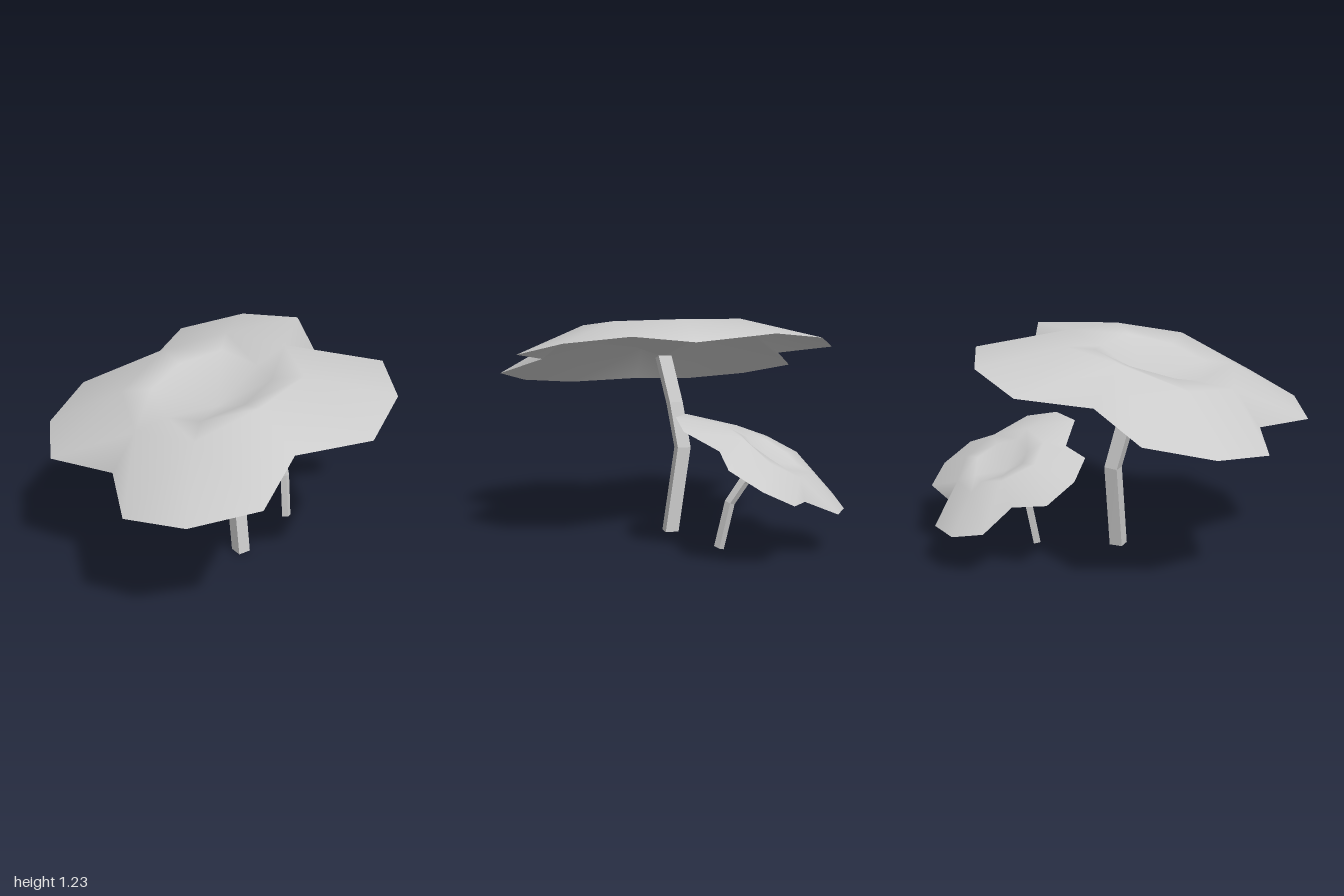
import * as THREE from 'three';

const TILT = 0.248;

const leafMaterial = new THREE.MeshStandardMaterial({ color: 0xcccccc, side: THREE.DoubleSide });
const stemMaterial = new THREE.MeshStandardMaterial({ color: 0xcccccc, side: THREE.DoubleSide, flatShading: true });

// Mirrors a quarter of a ring, given as x, height, z, to the full ring
function fullRing(quarter) {
  const n = quarter.length - 1;
  return Array.from({ length: 4 * n }, (_, k) => {
    const m = k % (2 * n);
    const [x, h, z] = quarter[m > n ? 2 * n - m : m];
    return [k > n && k < 3 * n ? -x : x, h, k > 2 * n ? -z : z];
  });
}

// Four-lobed leaf: a sunken middle rises to an eight-sided ridge, then falls to the rim
function makeLeaf() {
  const hollow = fullRing([[0.3, 0.12, 0], [0.235, 0.165, 0.235], [0, 0.17, 0.31]]);
  const ridge = fullRing([[0.5, 0.147, 0], [0.36, 0.167, 0.36], [0, 0.21, 0.455]]);
  const rim = fullRing([[0.69, -0.01, 0], [0.858, 0, 0.38], [0.685, 0, 0.7], [0.352, 0, 0.888], [0, 0.025, 0.695]]);
  const points = [[0, 0.02, 0], ...hollow, ...ridge, ...rim].flat();
  const faces = [];
  for (let k = 0; k < 8; k++) {
    const next = (k + 1) % 8;
    const [a, b, c, d] = [1 + k, 1 + next, 9 + k, 9 + next];
    const [e, m, f] = [17 + 2 * k, 18 + 2 * k, 17 + 2 * next];
    faces.push(0, b, a, a, b, c, b, d, c);
    faces.push(c, m, e, c, d, m, d, f, m);
  }
  const geometry = new THREE.BufferGeometry();
  geometry.setAttribute('position', new THREE.Float32BufferAttribute(points, 3));
  geometry.setIndex(faces);
  geometry.computeVertexNormals();
  const leaf = new THREE.Mesh(geometry, leafMaterial);
  leaf.name = 'leaf';
  leaf.rotation.z = TILT;
  return leaf;
}

// Square stem: the rows of an open four-sided tube are moved onto a bent path, top first
function makeStem() {
  const path = [[0, 0.02, 0], [0.095, -0.235, -0.04], [0.155, -0.48, -0.07], [0.153, -0.96, 0]];
  const leans = [0.25, 0.25, 0.1, 0]; // the upper rows lean with the bend
  const geometry = new THREE.CylinderGeometry(0.053, 0.053, 1, 4, path.length - 1, true, Math.PI / 4);
  const pos = geometry.attributes.position;
  for (let i = 0; i < pos.count; i++) {
    const row = Math.floor(i / 5);
    const [x, y, z] = path[row];
    pos.setXYZ(i, pos.getX(i) + x, y + leans[row] * pos.getX(i), pos.getZ(i) + z);
  }
  geometry.computeVertexNormals();
  const stem = new THREE.Mesh(geometry, stemMaterial);
  stem.name = 'stem';
  return stem;
}

// A plant has its origin at the middle of its leaf
function makePlant(name) {
  const plant = new THREE.Group();
  plant.name = name;
  plant.add(makeLeaf(), makeStem());
  return plant;
}

export function createModel() {
  const model = new THREE.Group();
  model.name = 'leafPlants';

  const large = makePlant('largePlant');
  large.position.set(-0.17, 0.967, 0);

  // Small plant: the same shape, scaled, turned around and leaning back
  const small = makePlant('smallPlant');
  const turn = new THREE.Matrix4().makeBasis(
    new THREE.Vector3(-0.84, 0.183, 0.484),
    new THREE.Vector3(0.02, 0.945, -0.325),
    new THREE.Vector3(-0.518, -0.264, -0.798),
  );
  small.quaternion.setFromRotationMatrix(turn);
  small.scale.setScalar(0.532);
  small.position.set(0.508, 0.475, -0.355);

  model.add(large, small);
  return model;
}
